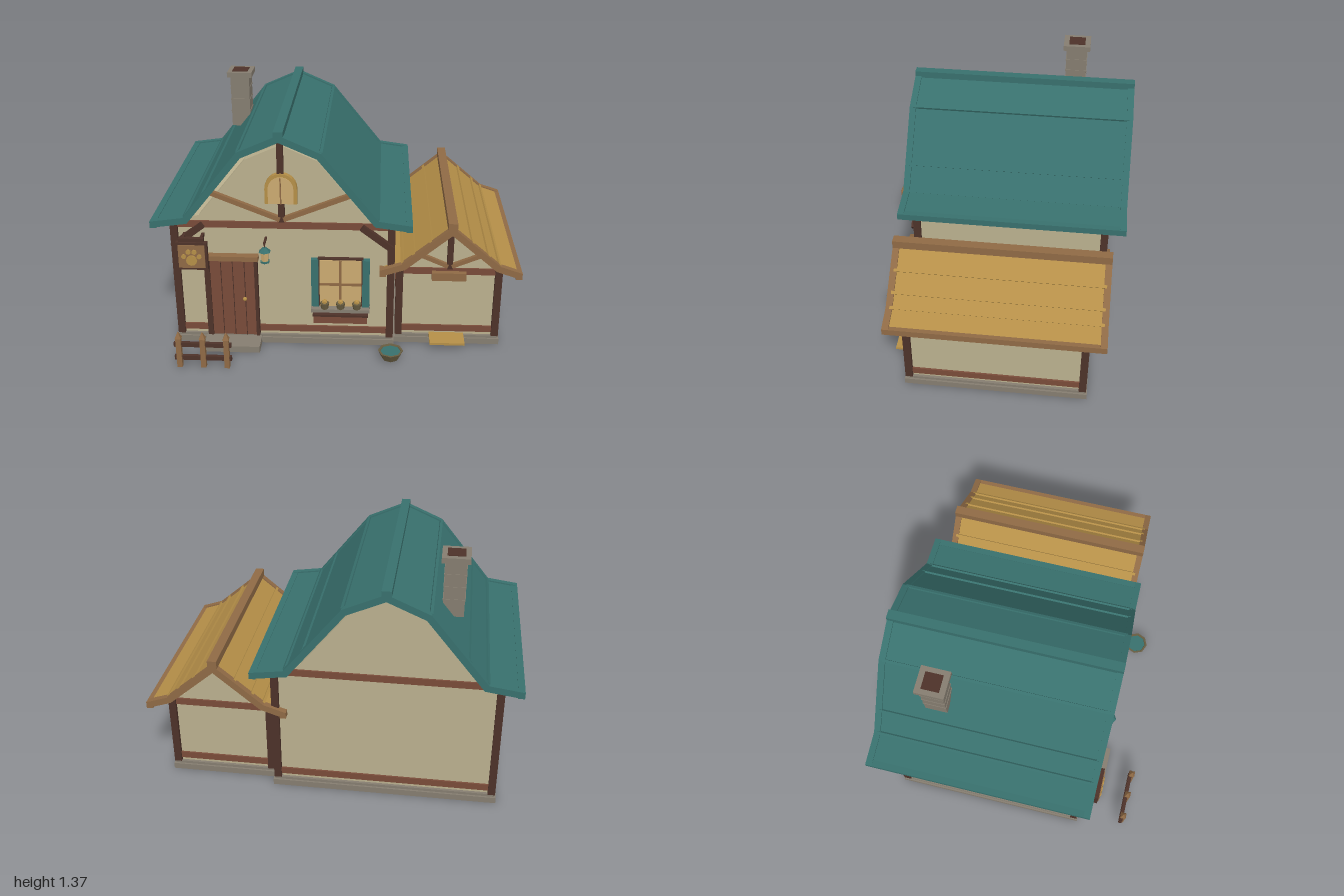
import * as THREE from 'three';

const mat = (name, color) => {
  const m = new THREE.MeshStandardMaterial({ color });
  m.name = name;
  return m;
};

export function createModel() {
  const model = new THREE.Group();
  model.name = 'cottage';
  const M = {
    plaster: mat('plaster', 0xbab08e), teal: mat('teal', 0x38706d), gold: mat('gold', 0xb58f48),
    oak: mat('oak', 0x8f6a45), red: mat('redwood', 0x794b39), dark: mat('darkTimber', 0x4d3229),
    stone: mat('stone', 0x857d70), pane: mat('pane', 0xcbaa70), olive: mat('olive', 0x675c40),
  };

  const add = (name, geo, m, x = 0, y = 0, z = 0) => {
    const mesh = new THREE.Mesh(geo, m);
    mesh.name = name;
    mesh.position.set(x, y, z);
    model.add(mesh);
    return mesh;
  };
  // Box given by its limits
  const box = (name, m, x0, x1, y0, y1, z0, z1) => add(name, new THREE.BoxGeometry(x1 - x0, y1 - y0, z1 - z0), m,
    (x0 + x1) / 2, (y0 + y1) / 2, (z0 + z1) / 2);
  // Straight timber between two points facing the front
  const bar = (name, m, x0, y0, x1, y1, z, w, d) => {
    const b = add(name, new THREE.BoxGeometry(Math.hypot(x1 - x0, y1 - y0), w, d), m, (x0 + x1) / 2, (y0 + y1) / 2, z);
    b.rotation.z = Math.atan2(y1 - y0, x1 - x0);
    return b;
  };
  const prism = (name, m, pts, z0, z1) => add(name, new THREE.ExtrudeGeometry(
    new THREE.Shape(pts.map(p => new THREE.Vector2(p[0], p[1]))), { depth: z1 - z0, bevelEnabled: false }), m, 0, 0, z0);
  const cyl = (name, m, r1, r2, h, n, x, y, z) => {
    const g = new THREE.CylinderGeometry(r1, r2, h, n).toNonIndexed();
    g.computeVertexNormals();
    return add(name, g, m, x, y, z);
  };

  // Half profile (offset from centre, height) mirrored into a full line, left to right
  const mirror = (half, cx) => [...half.map(([d, y]) => [cx - d, y]), ...half.slice(0, -1).reverse().map(([d, y]) => [cx + d, y])];
  // Mitred offset of a profile towards its underside
  const offset = (pts, t) => pts.map((p, i) => {
    const a = pts[Math.max(i - 1, 0)], b = pts[Math.min(i + 1, pts.length - 1)];
    const n = (u, v) => { const l = Math.hypot(v[0] - u[0], v[1] - u[1]); return [(v[1] - u[1]) / l, -(v[0] - u[0]) / l]; };
    const n1 = i ? n(a, p) : n(p, b), n2 = i < pts.length - 1 ? n(p, b) : n1;
    const k = t / (1 + n1[0] * n2[0] + n1[1] * n2[1]);
    return [p[0] + (n1[0] + n2[0]) * k, p[1] + (n1[1] + n2[1]) * k];
  });
  const band = (name, m, pts, top, bottom, z0, z1) =>
    prism(name, m, [...offset(pts, bottom), ...offset(pts, top).reverse()], z0, z1);

  // Roof: sheet, raised rakes, eave edges, ridge and battens
  function roof(name, half, cx, z0, z1, sheet, trim, battens, ridge, rakeT) {
    const line = mirror(half, cx);
    band(name + 'Sheet', sheet, line, 0.008, 0.03, z0 + 0.01, z1 - 0.01);
    band(name + 'FrontRake', trim, line, 0, rakeT, z1 - 0.035, z1);
    band(name + 'BackRake', trim, line, 0, rakeT, z0, z0 + 0.035);
    const [top, tipY] = [half[half.length - 1][1], half[0][1]];
    box(name + 'Ridge', trim, cx - 0.025, cx + 0.025, ridge - 0.045, ridge, z0, z1);
    for (const s of [-1, 1]) {
      const e = cx + s * half[0][0];
      box(name + 'Eave', trim, Math.min(e, e - s * 0.035), Math.max(e, e - s * 0.035), tipY - 0.036, tipY, z0, z1);
      for (const d of battens) {
        const i = half.findIndex(p => p[0] <= d), [a, b] = [half[i - 1], half[i]];
        const y = a[1] + (b[1] - a[1]) * (a[0] - d) / (a[0] - b[0]);
        const w = add(name + 'Batten', new THREE.BoxGeometry(0.016, 0.014, z1 - z0 - 0.04), sheet, cx + s * d, Math.min(y, top) - 0.006, (z0 + z1) / 2);
        w.rotation.z = -s * Math.atan2(b[1] - a[1], a[0] - b[0]);
      }
    }
  }

  // Timber-framed block: foundation, walls, corner posts and rails
  function block(name, x0, x1, z0, z1, h, beamTop) {
    box(name + 'Foundation', M.stone, x0 - 0.005, x1 + 0.005, 0, 0.035, z0 - 0.005, z1 + 0.005);
    box(name + 'Plinth', M.stone, x0 + 0.005, x1 - 0.005, 0.035, 0.05, z0 + 0.005, z1 - 0.005);
    box(name + 'Walls', M.plaster, x0 + 0.02, x1 - 0.02, 0.045, h, z0 + 0.02, z1 - 0.02);
    for (const x of [x0, x1 - 0.04]) for (const z of [z0, z1 - 0.04])
      box(name + 'Post', M.dark, x, x + 0.04, 0.05, h, z, z + 0.04);
    for (const [a, b] of [[0.07, 0.108], [beamTop - 0.038, beamTop]]) {
      for (const z of [z0 + 0.01, z1 - 0.025]) box(name + 'Rail', M.red, x0 + 0.03, x1 - 0.03, a, b, z, z + 0.015);
      for (const x of [x0 + 0.01, x1 - 0.025]) box(name + 'Rail', M.red, x, x + 0.015, a, b, z0 + 0.03, z1 - 0.03);
    }
  }

  // Main house
  block('house', -0.91, 0.31, -0.645, 0.45, 0.755, 0.752);
  const gable = mirror([[0.59, 0.75], [0.55, 0.765], [0.45, 0.782], [0.19, 1.105], [0, 1.19]], -0.3);
  prism('houseFrontGable', M.plaster, gable, 0.39, 0.43);
  prism('houseBackGable', M.plaster, gable, -0.625, -0.585);
  roof('houseRoof', [[0.7, 0.777], [0.52, 0.802], [0.22, 1.175], [0, 1.272]], -0.3, -0.735, 0.515, M.teal, M.teal, [0.515, 0.42, 0.215], 1.29, 0.036);
  box('gableKingPost', M.dark, -0.318, -0.284, 0.76, 1.22, 0.425, 0.455);
  for (const s of [-1, 1]) {
    bar('gableBrace', M.oak, -0.3 + s * 0.375, 0.922, -0.3 + s * 0.01, 0.775, 0.445, 0.026, 0.025);
    bar('cornerBrace', M.dark, -0.3 + s * 0.6, 0.605, -0.3 + s * 0.43, 0.735, 0.448, 0.034, 0.03);
  }

  // Arched gable window
  const arch = (r, y0) => {
    const p = [[-0.3 - r, y0]];
    for (let i = 0; i <= 12; i++) p.push([-0.3 - r * Math.cos(i * Math.PI / 12), 0.955 + r * Math.sin(i * Math.PI / 12)]);
    return [...p, [-0.3 + r, y0]].reverse();
  };
  prism('archFrame', M.gold, arch(0.086, 0.87), 0.43, 0.462);
  prism('archPane', M.pane, arch(0.068, 0.872), 0.462, 0.467);
  box('archMullion', M.oak, -0.304, -0.297, 0.872, 1.02, 0.465, 0.472);

  // Chimney with cap, mortar bands and flue
  box('chimneyShaft', M.stone, -0.675, -0.565, 1.03, 1.34, -0.455, -0.335);
  for (const y of [1.12, 1.19, 1.26]) box('chimneyBand', M.stone, -0.678, -0.562, y, y + 0.008, -0.458, -0.332);
  box('chimneyCap', M.stone, -0.692, -0.546, 1.332, 1.362, -0.473, -0.317);
  box('chimneyFlue', M.dark, -0.665, -0.573, 1.36, 1.365, -0.442, -0.348);

  // Door with frame, lintel, planks, knob and step
  box('door', M.red, -0.705, -0.455, 0.05, 0.525, 0.43, 0.452);
  for (const x of [-0.645, -0.58, -0.515]) box('doorGap', M.dark, x - 0.002, x + 0.002, 0.05, 0.52, 0.45, 0.454);
  box('doorJamb', M.dark, -0.735, -0.705, 0.05, 0.53, 0.43, 0.463);
  box('doorJamb', M.dark, -0.46, -0.442, 0.05, 0.53, 0.43, 0.463);
  box('doorLintel', M.oak, -0.725, -0.435, 0.527, 0.555, 0.43, 0.475);
  add('doorKnob', new THREE.SphereGeometry(0.012, 10, 8), M.gold, -0.518, 0.285, 0.46);
  box('doorStep', M.stone, -0.745, -0.432, 0.002, 0.04, 0.44, 0.565);

  // Front window with shutters, planter and pots
  box('windowFrame', M.dark, -0.11, 0.14, 0.235, 0.545, 0.43, 0.452);
  box('windowPane', M.pane, -0.1, 0.13, 0.25, 0.536, 0.45, 0.457);
  box('windowMullion', M.oak, 0.008, 0.022, 0.25, 0.536, 0.452, 0.464);
  box('windowMullion', M.oak, -0.1, 0.13, 0.383, 0.397, 0.452, 0.463);
  for (const x of [-0.146, 0.135]) box('shutter', M.teal, x, x + 0.04, 0.25, 0.54, 0.43, 0.463);
  box('windowSill', M.stone, -0.148, 0.178, 0.23, 0.25, 0.43, 0.495);
  box('planter', M.red, -0.132, 0.164, 0.17, 0.22, 0.43, 0.507);
  box('planterRim', M.dark, -0.137, 0.169, 0.212, 0.224, 0.43, 0.51);
  for (const x of [-0.072, 0.016, 0.106]) {
    cyl('flowerPot', M.olive, 0.026, 0.02, 0.035, 8, x, 0.266, 0.477);
    add('flower', new THREE.IcosahedronGeometry(0.017, 0), M.gold, x, 0.289, 0.477);
  }

  // Hanging sign with a paw
  box('signArm', M.dark, -0.85, -0.715, 0.668, 0.688, 0.505, 0.53);
  for (const x of [-0.84, -0.74]) box('signBracket', M.dark, x, x + 0.015, 0.662, 0.682, 0.44, 0.53);
  box('signBoard', M.dark, -0.865, -0.695, 0.507, 0.668, 0.515, 0.54);
  box('signPanel', M.oak, -0.852, -0.708, 0.52, 0.655, 0.538, 0.545);
  for (const [x, y, r] of [[0, -0.018, 0.03], [-0.042, 0.005, 0.013], [-0.016, 0.032, 0.014], [0.016, 0.032, 0.014], [0.042, 0.005, 0.013]])
    cyl('paw', M.gold, r, r, 0.008, 12, -0.78 + x, 0.585 + y, 0.548).rotation.x = Math.PI / 2;

  // Lantern
  box('lanternArm', M.dark, -0.396, -0.384, 0.655, 0.665, 0.44, 0.515);
  box('lanternHook', M.dark, -0.393, -0.387, 0.63, 0.665, 0.507, 0.513);
  cyl('lanternRoof', M.teal, 0.01, 0.035, 0.025, 6, -0.39, 0.623, 0.51);
  cyl('lanternGlass', M.pane, 0.024, 0.021, 0.055, 6, -0.39, 0.583, 0.51);
  cyl('lanternBase', M.teal, 0.027, 0.027, 0.01, 6, -0.39, 0.552, 0.51);

  // Annex
  block('annex', 0.32, 0.905, -0.58, 0.41, 0.48, 0.473);
  const small = mirror([[0.285, 0.475], [0.2, 0.5], [0, 0.688]], 0.613);
  prism('annexFrontGable', M.plaster, small, 0.355, 0.39);
  prism('annexBackGable', M.plaster, small, -0.56, -0.525);
  roof('annexRoof', [[0.385, 0.497], [0.265, 0.537], [0, 0.762]], 0.613, -0.665, 0.49, M.gold, M.oak, [0.26, 0.2, 0.11], 0.785, 0.036);
  box('annexKingPost', M.dark, 0.597, 0.629, 0.475, 0.71, 0.385, 0.415);
  for (const s of [-1, 1]) bar('annexBrace', M.oak, 0.613 + s * 0.18, 0.565, 0.613 + s * 0.01, 0.492, 0.405, 0.023, 0.022);
  box('annexPlaque', M.oak, 0.517, 0.705, 0.41, 0.457, 0.39, 0.43);
  box('doormat', M.gold, 0.515, 0.71, 0.043, 0.057, 0.39, 0.505);

  // Water bowl
  const bowl = new THREE.LatheGeometry([[0, 0.005], [0.047, 0.005], [0.07, 0.052], [0.058, 0.052], [0.05, 0.035]]
    .map(p => new THREE.Vector2(...p)), 8).toNonIndexed();
  bowl.computeVertexNormals();
  add('bowl', bowl, M.olive, 0.297, 0, 0.582);
  cyl('bowlWater', M.teal, 0.057, 0.048, 0.008, 8, 0.297, 0.043, 0.582);

  // Picket fence
  for (const x of [-0.845, -0.715, -0.587]) {
    box('fencePost', M.oak, x - 0.014, x + 0.014, 0.01, 0.19, 0.705, 0.733);
    cyl('fenceTip', M.oak, 0, 0.024, 0.042, 4, x, 0.208, 0.719).rotation.y = Math.PI / 4;
  }
  for (const y of [0.132, 0.05]) box('fenceRail', M.dark, -0.872, -0.562, y, y + 0.025, 0.703, 0.722);

  return model;
}
